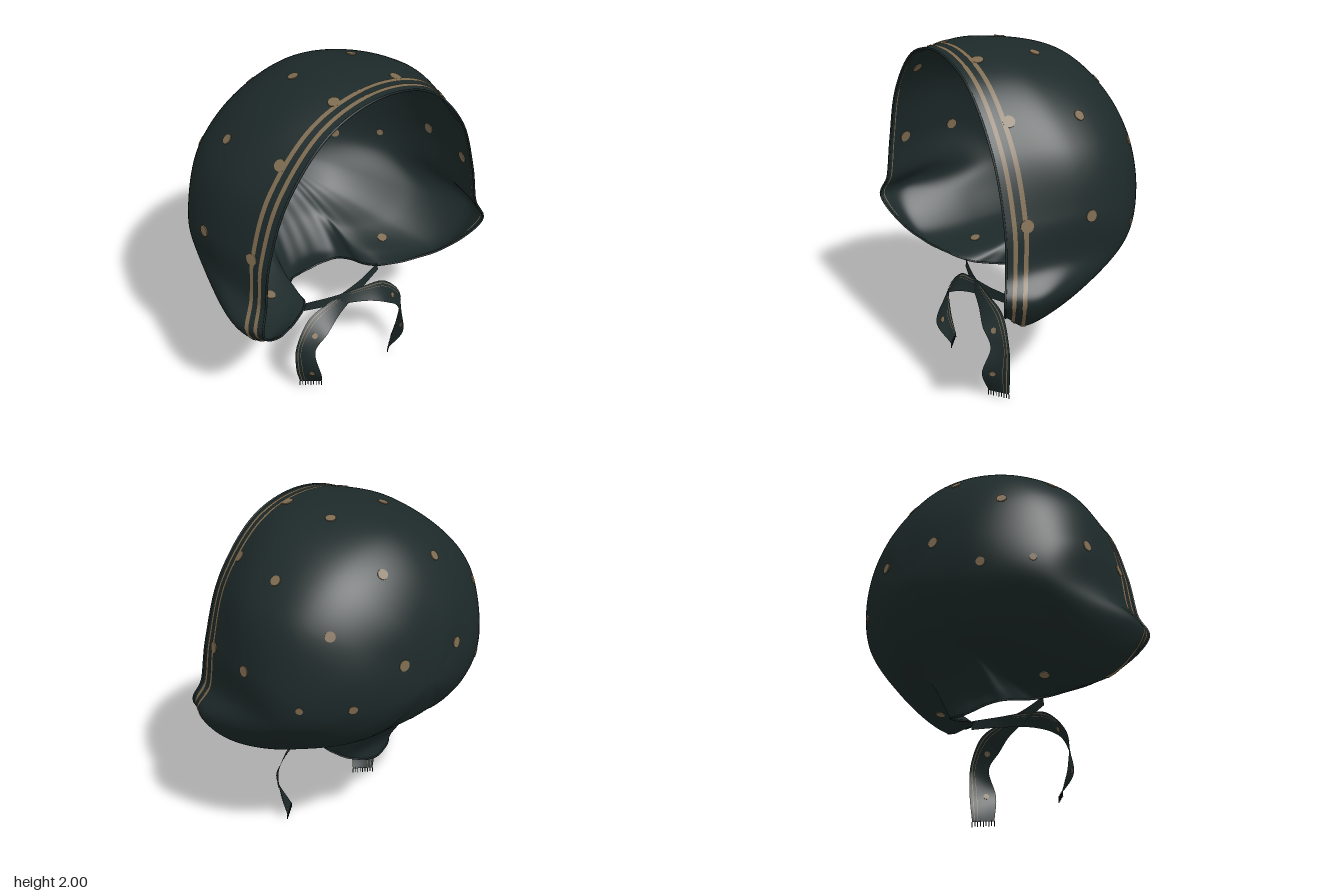
import * as THREE from 'three';
import { mergeVertices } from 'three/addons/utils/BufferGeometryUtils.js';

const V = (x, y, z) => new THREE.Vector3(x, y, z);

// Half of the cap: lines running from the open edge to the back, top centre first, nape last
const LINES = [
  [[0, 1.975, .5], [0, 1.995, .17], [0, 1.89, -.23], [0, 1.6, -.465]],
  [[.33, 1.885, .5], [.395, 1.9, .17], [.36, 1.79, -.23], [.2, 1.53, -.475]],
  [[.58, 1.61, .5], [.69, 1.615, .12], [.62, 1.56, -.22], [.36, 1.42, -.46]],
  [[.7, 1.28, .5], [.785, 1.29, .1], [.725, 1.25, -.2], [.43, 1.25, -.46]],
  [[.74, 1.03, .515], [.785, 1.05, .15], [.72, 1.02, -.18], [.42, 1.08, -.45]],
  [[.78, .875, .545], [.84, .87, .34], [.7, .84, 0], [.4, .95, -.4]],
  [[.58, .69, .43], [.63, .645, .33], [.53, .7, .02], [.32, .86, -.36]],
  [[.28, .595, .23], [.28, .625, .12], [.28, .69, -.07], [.22, .85, -.37]],
  [[.19, .53, -.03], [.19, .59, -.08], [.17, .73, -.21], [.12, .89, -.41]],
  [[0, .48, -.11], [0, .59, -.122], [0, .74, -.24], [0, .91, -.44]],
];
const BACK = V(0, 1.16, -.545);
const N = 18;

const meridians = Array.from({ length: N }, (_, i) => {
  const s = i > 9 ? -1 : 1;
  const pts = LINES[i > 9 ? N - i : i].map(([x, y, z]) => V(s * x, y, z));
  const e = pts[3];
  // the extra point past the back centre keeps the crown smooth there
  pts.push(BACK, V(-e.x, 2 * BACK.y - e.y, e.z));
  return new THREE.CatmullRomCurve3(pts, false, 'catmullrom', .5);
});

const rings = new Map();
function ringAt(v) {
  if (!rings.has(v)) {
    rings.set(v, new THREE.CatmullRomCurve3(meridians.map(m => m.getPoint(v * .8)), true, 'catmullrom', .5));
  }
  return rings.get(v);
}

// Cap surface: u counts lines from the top centre, v runs from open edge (0) to back (1)
function cap(u, v) {
  const w = ((u % N) + N) % N;
  const p = ringAt(v).getPoint(w / N);
  // soft gathers towards the nape
  const low = THREE.MathUtils.smoothstep(1.15 - p.y, 0, .5) * THREE.MathUtils.smoothstep(Math.min(w, N - w), 5.5, 7);
  const f = 1 + .014 * low * Math.sin(w * Math.PI * 4) * (1 - v);
  p.x *= f;
  p.z *= f;
  return p;
}

function capNormal(u, v) {
  const e = .02, a = Math.min(Math.max(v, e), .97);
  const du = cap(u + e, a).sub(cap(u - e, a));
  const dv = cap(u, a + e).sub(cap(u, a - e));
  return du.cross(dv).normalize();
}

// Smooth sheet from a point function on the unit square
function sheet(fn, nu, nv) {
  const pos = [], idx = [];
  for (let j = 0; j <= nv; j++) {
    for (let i = 0; i <= nu; i++) pos.push(...fn(i / nu, j / nv).toArray());
  }
  for (let j = 0; j < nv; j++) {
    for (let i = 0; i < nu; i++) {
      const a = j * (nu + 1) + i, c = a + nu + 1;
      idx.push(a, a + 1, c, a + 1, c + 1, c);
    }
  }
  let g = new THREE.BufferGeometry();
  g.setAttribute('position', new THREE.Float32BufferAttribute(pos, 3));
  g.setIndex(idx);
  g = mergeVertices(g, 1e-5);
  g.computeVertexNormals();
  return g;
}

export function createModel() {
  const model = new THREE.Group();
  model.name = 'bonnet';
  const cloth = new THREE.MeshStandardMaterial({ color: 0x1d2929, side: THREE.DoubleSide });
  cloth.name = 'dark green cloth';
  const tan = new THREE.MeshStandardMaterial({ color: 0x7e6b50, side: THREE.DoubleSide });
  tan.name = 'tan print';
  const add = (name, geo, mat, parent = model) => {
    const m = new THREE.Mesh(geo, mat);
    m.name = name;
    parent.add(m);
    return m;
  };

  // Cap and its rolled edge
  add('cap', sheet((s, t) => cap(s * N, t), 288, 48), cloth);
  const edge = new THREE.CatmullRomCurve3(Array.from({ length: 108 }, (_, i) => cap(i / 6, 0)), true);
  add('hem', new THREE.TubeGeometry(edge, 216, .006, 6, true), cloth);

  // Two printed stripes outside the face opening and a fine line inside: start, end, offset
  for (const [d0, d1, off] of [[.036, .058, .004], [.09, .113, .004], [.022, .028, -.004]]) {
    add('rimStripe', sheet((s, t) => {
      const u = (s * 2 - 1) * 6;
      const span = cap(u, 0).distanceTo(cap(u, .25));
      const v = .25 * (d0 + (d1 - d0) * t) / span;
      return cap(u, v).addScaledVector(capNormal(u, v), off);
    }, 120, 1), tan);
  }

  // Printed dots, thin discs through the cloth: position and size
  const DOTS = [
    [.2, 1.97, .02, 1], [.6, 1.75, .01, 1], [.2, 1.77, -.35, 1], [.53, 1.52, -.33, 1], [.19, 1.3, -.52, 1.1],
    [.45, 1.12, -.41, .9], [.78, 1.26, .05, 1.1], [.19, 1.95, .38, 1.1], [.53, 1.73, .385, 1.1], [.73, 1.27, .39, 1.2],
    [.67, 1.12, -.25, .7], [.42, .66, .1, 1],
  ];
  const grid = [];
  for (let j = 0; j < 60; j++) {
    for (let i = 0; i <= 135; i++) grid.push([i / 15, j / 60, cap(i / 15, j / 60)]);
  }
  const disc = new THREE.CylinderGeometry(.028, .028, .009, 14);
  for (const [x, y, z, size] of DOTS) {
    const target = V(x, y, z);
    const [u, v] = grid.reduce((a, b) => (b[2].distanceTo(target) < a[2].distanceTo(target) ? b : a));
    for (const w of [u, -u]) {
      const dot = add('dot', disc, tan);
      dot.scale.set(size, 1, size);
      dot.position.copy(cap(w, v));
      dot.quaternion.setFromUnitVectors(V(0, 1, 0), capNormal(w, v));
    }
  }

  // Crossed tie ribbons: centre path and half-width path
  for (const side of [1, -1]) {
    const tie = new THREE.Group();
    tie.name = side > 0 ? 'leftTie' : 'rightTie';
    model.add(tie);
    const dz = side > 0 ? 0 : -.014, end = side > 0 ? .03 : .06;
    const path = new THREE.CatmullRomCurve3([
      V(-.28, .575, .23), V(-.1, .56, .28), V(.1, .53, .315), V(.25, .475, .335),
      V(.35, .36, .345), V(.35, .2, .37), V(.305, end, .33),
    ].map(p => V(p.x * side, p.y, p.z + dz)), false, 'catmullrom', .5);
    const width = new THREE.CatmullRomCurve3([
      V(.005, .026, 0), V(.005, .03, -.005), V(.01, .036, -.025), V(.026, .038, -.05),
      V(.038, .015, -.038), V(.04, 0, -.068), V(.05, 0, -.04),
    ].map(p => V(p.x * side, p.y, p.z)), false, 'catmullrom', .5);
    const at = (s, k) => path.getPoint(s).addScaledVector(width.getPoint(s), k);
    const normal = s => path.getTangent(s).cross(width.getPoint(s)).normalize();
    add('ribbon', sheet((s, t) => at(s, t * 2 - 1), 60, 4), cloth, tie);
    for (const off of [.003, -.003]) {
      for (const [k, w] of [[.72, .07], [.45, .04]]) {
        add('ribbonStripe', sheet((s, t) => at(.25 + s * .75, k + w * t).addScaledVector(normal(.25 + s * .75), off), 48, 1), tan, tie);
      }
    }
    for (const [s, k] of [[.56, -.2], [.84, -.25]]) {
      const dot = add('ribbonDot', disc, tan, tie);
      dot.scale.set(.6, .8, .6);
      dot.position.copy(at(s, k));
      dot.quaternion.setFromUnitVectors(V(0, 1, 0), normal(s));
    }
    // frayed end
    for (let i = 0; i < 9; i++) {
      const thread = add('fringeThread', new THREE.BoxGeometry(.004, .03, .004), cloth, tie);
      thread.position.copy(at(1, i / 4 - 1));
      thread.position.y -= i % 2 ? .011 : .015;
    }
  }
  return model;
}
